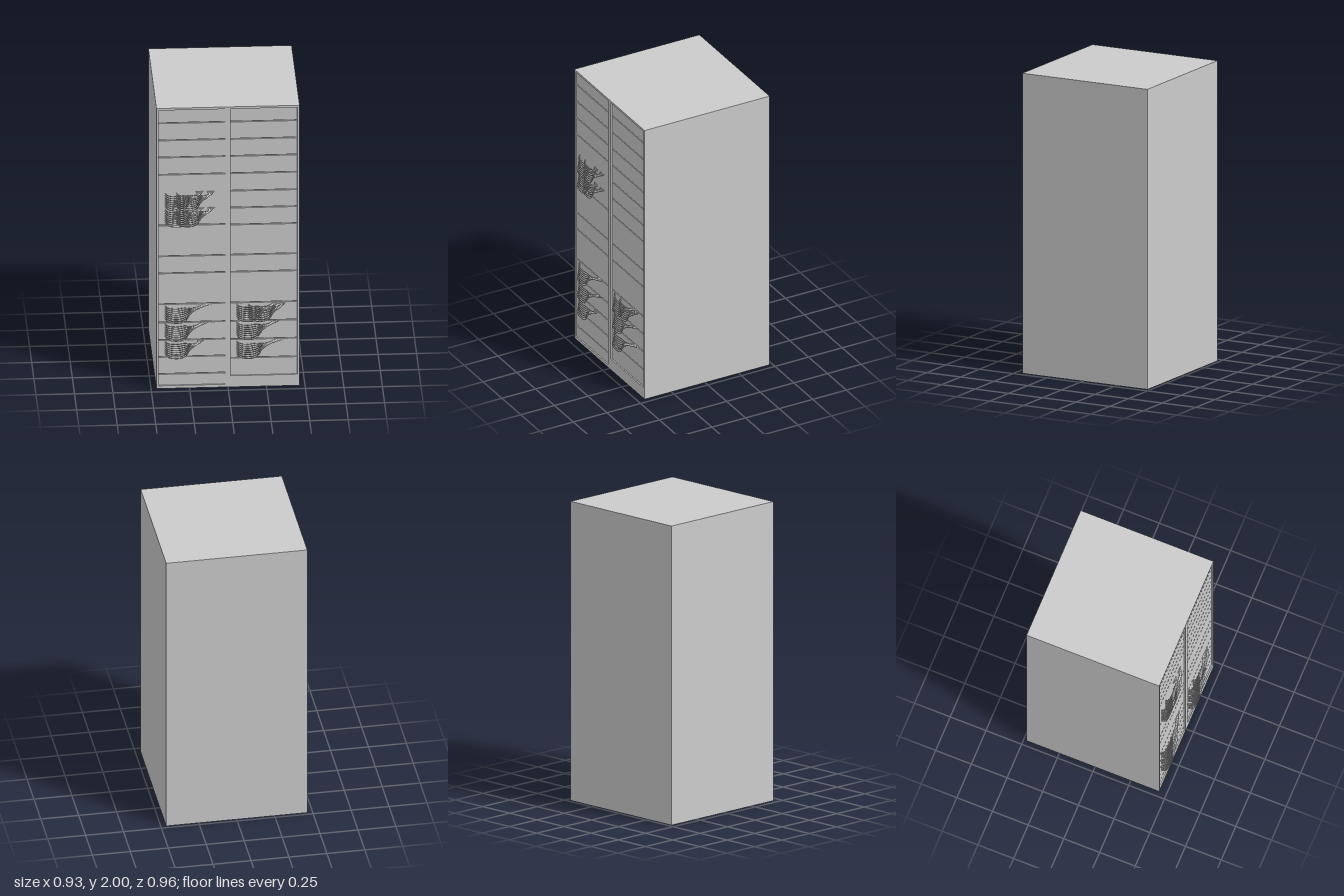
import * as THREE from 'three';

const grey = new THREE.MeshStandardMaterial({ color: 0xcccccc, flatShading: true });
const cableGrey = new THREE.MeshStandardMaterial({ color: 0xcccccc });
const W = 0.465, H = 2, BACK = -0.48, FRONT = 0.45;
const FLOOR = 0.432, FACE = 0.441; // back of the bays, face of the units

function box(name, x0, x1, y0, y1, z0, z1) {
  const mesh = new THREE.Mesh(new THREE.BoxGeometry(x1 - x0, y1 - y0, z1 - z0), grey);
  mesh.position.set((x0 + x1) / 2, (y0 + y1) / 2, (z0 + z1) / 2);
  mesh.name = name;
  return mesh;
}

function rectangle(path, x0, x1, y0, y1) {
  path.moveTo(x0, y0);
  path.lineTo(x1, y0);
  path.lineTo(x1, y1);
  path.lineTo(x0, y1);
  path.closePath();
  return path;
}

// One bundle: cables leave a column of sockets, sag, and sweep up to a shared exit
function cableBundle(x, top, reach, count = 8) {
  const bundle = new THREE.Group();
  bundle.name = 'cableBundle';
  for (let i = 0; i < count; i++) {
    const t = i / (count - 1);
    const y = top - 0.012 - 0.085 * t;
    const sag = 0.016 + 0.012 * t;
    const bulge = FRONT + 0.012 + 0.012 * t;
    const end = x + reach - 0.05 * (1 - t);
    const points = [
      [x, y, FACE],
      [x + 0.015, y - sag * 0.6, bulge - 0.006],
      [x + 0.07, y - sag, bulge],
      [x + 0.125, y - sag * 0.6, bulge],
      [x + 0.165, THREE.MathUtils.lerp(y, top - 0.035, 0.6), bulge - 0.002],
      [x + 0.21, top - 0.02 - 0.008 * t, bulge - 0.008],
      [end, top - 0.003, FACE]
    ].map(p => new THREE.Vector3(...p));
    const curve = new THREE.CatmullRomCurve3(points);
    const cable = new THREE.Mesh(new THREE.TubeGeometry(curve, 26, 0.0024, 6), cableGrey);
    cable.name = 'cable';
    bundle.add(cable);
  }
  return bundle;
}

export function createModel() {
  const model = new THREE.Group();
  model.name = 'equipmentCabinet';

  // Closed cabinet body
  model.add(box('cabinetBody', -W, W, 0, H, BACK, FLOOR));

  // Each bay: sides, and the heights of the seams between units
  const bays = [
    { name: 'rightBay', x0: -0.452, x1: -0.018,
      seams: [1.985, 1.89, 1.767, 1.645, 1.522, 1.16, 0.94, 0.818, 0.598, 0.467, 0.342, 0.222, 0.1, 0.02] },
    { name: 'leftBay', x0: 0.016, x1: 0.45,
      seams: [1.985, 1.89, 1.767, 1.645, 1.522, 1.397, 1.276, 1.155, 0.94, 0.818, 0.598, 0.467, 0.337, 0.204, 0.08] }
  ];

  // Front frame with an opening for each bay
  const outline = rectangle(new THREE.Shape(), -W, W, 0, H);
  for (const { x0, x1, seams } of bays) {
    outline.holes.push(rectangle(new THREE.Path(), x0, x1, seams[seams.length - 1], seams[0]));
  }
  const frame = new THREE.Mesh(
    new THREE.ExtrudeGeometry(outline, { depth: FRONT - FLOOR, bevelEnabled: false }), grey);
  frame.position.z = FLOOR;
  frame.name = 'frontFrame';
  model.add(frame);

  // Stacked units with narrow gaps between them
  for (const { name, x0, x1, seams } of bays) {
    const bay = new THREE.Group();
    bay.name = name;
    for (let i = 0; i < seams.length - 1; i++) {
      const topGap = i === 0 ? 0 : 0.003;
      const bottomGap = i === seams.length - 2 ? 0 : 0.003;
      bay.add(box('unitPanel', x0, x1, seams[i + 1] + bottomGap, seams[i] - topGap, FLOOR - 0.005, FACE));
    }
    model.add(bay);
  }

  // Patch cables: start x, top y, horizontal reach
  const bundles = [
    [-0.408, 1.4, 0.25], [-0.335, 1.4, 0.25],
    [-0.408, 1.285, 0.25], [-0.335, 1.285, 0.25],
    [-0.408, 0.598, 0.31], [-0.408, 0.47, 0.29], [-0.408, 0.345, 0.26],
    [0.058, 0.598, 0.29], [0.133, 0.598, 0.24],
    [0.058, 0.47, 0.29], [0.058, 0.335, 0.31]
  ];
  for (const [x, top, reach] of bundles) model.add(cableBundle(x, top, reach));

  return model;
}
